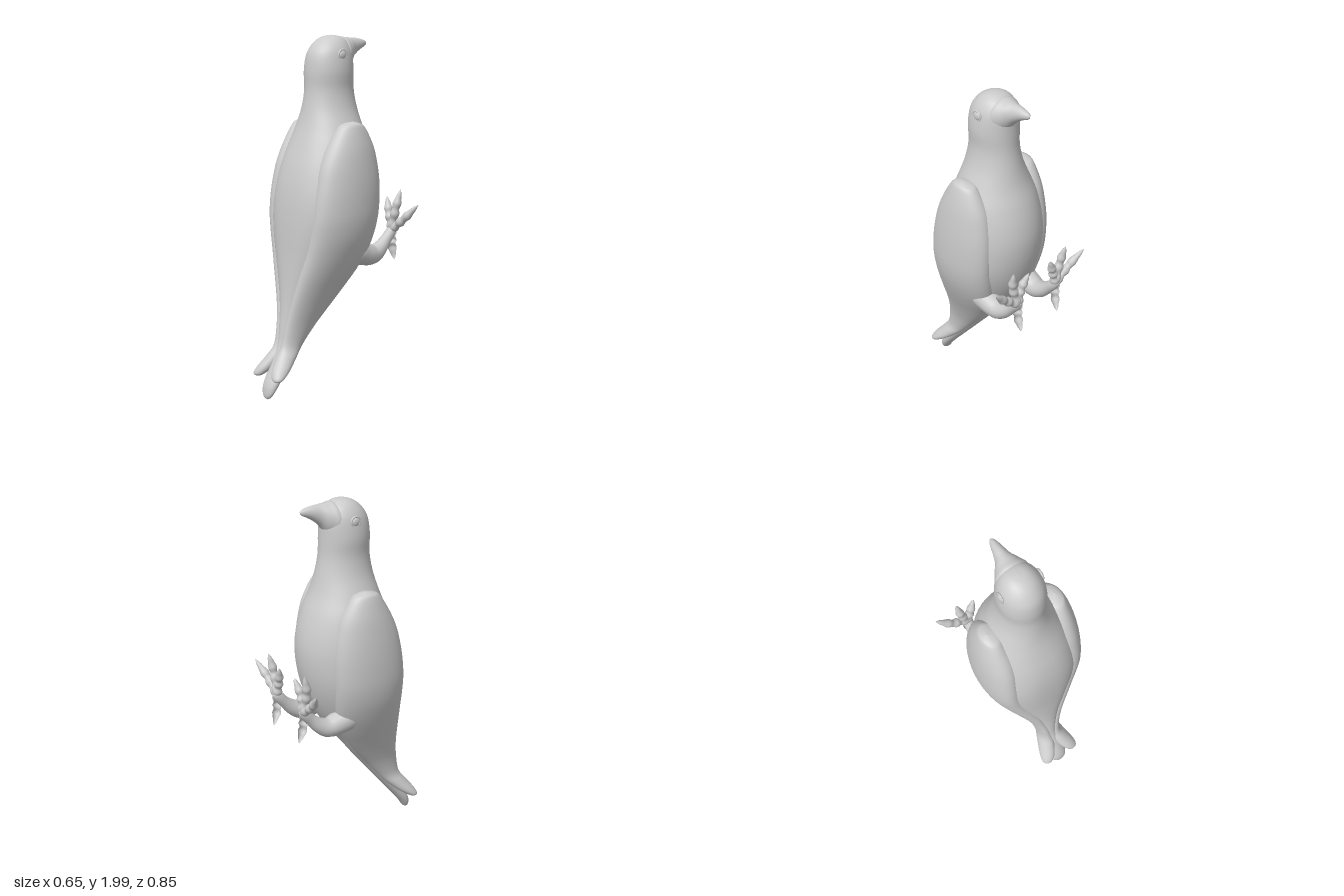
import * as THREE from 'three';

const material = new THREE.MeshStandardMaterial({ color: 0xcccccc, roughness: 0.8 });

// Smoothly subdivide rows of section measurements
function refine(rows, steps) {
  const out = [];
  const at = i => rows[Math.max(0, Math.min(rows.length - 1, i))];
  for (let i = 0; i < rows.length - 1; i++) {
    for (let s = 0; s < steps; s++) {
      const t = s / steps;
      out.push(rows[i].map((b, k) => {
        const a = at(i - 1)[k], c = at(i + 1)[k], d = at(i + 2)[k];
        return b + 0.5 * t * (c - a + t * (2 * a - 5 * b + 4 * c - d + t * (3 * (b - c) + d - a)));
      }));
    }
  }
  out.push(rows[rows.length - 1]);
  return out;
}

// Skin a list of closed rings; the end rings shrink to points
function skin(rings) {
  const n = rings[0].length, pos = rings.flat(2), idx = [];
  for (let i = 0; i < rings.length - 1; i++) {
    for (let j = 0; j < n; j++) {
      const a = i * n + j, b = i * n + (j + 1) % n;
      idx.push(a, b, a + n, b, b + n, a + n);
    }
  }
  // Signed volume tells whether the faces point outwards
  const p = i => new THREE.Vector3().fromArray(pos, i * 3);
  let volume = 0;
  for (let i = 0; i < idx.length; i += 3) volume += p(idx[i]).dot(p(idx[i + 1]).cross(p(idx[i + 2])));
  if (volume < 0) idx.reverse();
  const g = new THREE.BufferGeometry();
  g.setAttribute('position', new THREE.Float32BufferAttribute(pos, 3));
  g.setIndex(idx);
  g.computeVertexNormals();
  return g;
}

function loft(rows, point, steps = 5, sides = 48) {
  return skin(refine(rows, steps).map(r =>
    Array.from({ length: sides }, (_, j) => point(r, (j / sides) * Math.PI * 2))));
}

// Tapered limb through rows of [x, y, z, radius]
function limb(rows, sides = 14) {
  const fine = refine(rows, 5);
  const v = fine.map(r => new THREE.Vector3(r[0], r[1], r[2]));
  return skin(fine.map((r, i) => {
    const dir = v[Math.min(i + 1, v.length - 1)].clone().sub(v[Math.max(i - 1, 0)]).normalize();
    const u = new THREE.Vector3(1, 0, 0).addScaledVector(dir, -dir.x).normalize();
    const w = dir.clone().cross(u);
    return Array.from({ length: sides }, (_, j) => {
      const a = (j / sides) * Math.PI * 2;
      return v[i].clone().addScaledVector(u, r[3] * Math.cos(a)).addScaledVector(w, r[3] * Math.sin(a)).toArray();
    });
  }));
}

// Jointed toe from the foot to a claw tip, bending at the middle point
function toe(from, mid, tip) {
  const curve = new THREE.CatmullRomCurve3([from, mid, tip].map(p => new THREE.Vector3(...p)));
  const radii = [0.022, 0.027, 0.02, 0.027, 0.02, 0.025, 0.018, 0.012, 0.001];
  return limb(radii.map((r, i) => [...curve.getPoint(i / (radii.length - 1)).toArray(), r]));
}

export function createModel() {
  const model = new THREE.Group();
  const add = (parent, name, geometry) => {
    const m = new THREE.Mesh(geometry, material);
    m.name = name;
    parent.add(m);
    return m;
  };

  // Head, torso and middle tail: [y, front z, back z, half width, back squareness]
  const body = [
    [2.0, -0.051, -0.049, 0.001, 2], [1.993, -0.095, -0.005, 0.045, 2], [1.97, -0.135, 0.04, 0.08, 2],
    [1.93, -0.16, 0.077, 0.107, 2], [1.88, -0.172, 0.1, 0.122, 2], [1.8, -0.175, 0.11, 0.13, 2],
    [1.7, -0.18, 0.11, 0.126, 2], [1.6, -0.198, 0.125, 0.145, 2], [1.5, -0.225, 0.15, 0.185, 2.1],
    [1.4, -0.265, 0.185, 0.225, 2.2], [1.3, -0.295, 0.22, 0.25, 2.3], [1.2, -0.31, 0.245, 0.265, 2.4],
    [1.1, -0.307, 0.26, 0.272, 2.5], [1.0, -0.29, 0.268, 0.27, 2.5], [0.9, -0.26, 0.272, 0.25, 2.5],
    [0.8, -0.213, 0.275, 0.222, 2.4], [0.7, -0.147, 0.28, 0.182, 2.3], [0.6, -0.07, 0.286, 0.137, 2.2],
    [0.5, 0.004, 0.295, 0.1, 2.1], [0.4, 0.085, 0.308, 0.075, 2], [0.3, 0.167, 0.325, 0.06, 2],
    [0.2, 0.25, 0.365, 0.055, 2], [0.1, 0.332, 0.41, 0.055, 2], [0.05, 0.37, 0.42, 0.045, 2],
    [0.02, 0.388, 0.418, 0.025, 2], [0.008, 0.402, 0.404, 0.001, 2],
  ];
  add(model, 'body', loft(body, ([y, f, b, w, n], a) => {
    const c = Math.cos(a), s = Math.sin(a), e = s > 0 ? 2 / n : 1;
    return [w * Math.sign(c) * Math.abs(c) ** e, y, (f + b) / 2 + (b - f) / 2 * Math.sign(s) * Math.abs(s) ** e];
  }));

  // Beak: [z, low y, high y, half width]
  const beak = [
    [-0.06, 1.86, 1.9, 0.02], [-0.1, 1.79, 1.985, 0.095], [-0.15, 1.82, 1.987, 0.076],
    [-0.19, 1.87, 1.985, 0.047], [-0.23, 1.903, 1.983, 0.033], [-0.265, 1.924, 1.977, 0.024],
    [-0.293, 1.938, 1.969, 0.013], [-0.305, 1.953, 1.957, 0.001],
  ];
  add(model, 'beak', loft(beak, ([z, l, h, w], a) =>
    [w * Math.cos(a), (l + h) / 2 + (h - l) / 2 * Math.sin(a), z], 5, 32));

  // Wings run from the shoulder to a flared side lobe of the tail: [y, front z, back z, inner x, outer x]
  const wing = [
    [1.535, -0.032, -0.028, 0.209, 0.211], [1.525, -0.075, 0.02, 0.165, 0.24], [1.5, -0.115, 0.06, 0.14, 0.258],
    [1.4, -0.175, 0.125, 0.1, 0.284], [1.3, -0.203, 0.17, 0.09, 0.298], [1.2, -0.216, 0.195, 0.09, 0.306],
    [1.1, -0.217, 0.212, 0.09, 0.308], [1.0, -0.21, 0.222, 0.085, 0.303], [0.9, -0.197, 0.23, 0.06, 0.284],
    [0.8, -0.172, 0.24, 0.04, 0.25], [0.7, -0.125, 0.255, 0.02, 0.207], [0.6, -0.06, 0.27, 0.005, 0.16],
    [0.5, 0.015, 0.285, -0.005, 0.118], [0.4, 0.1, 0.304, -0.01, 0.086], [0.3, 0.185, 0.327, -0.01, 0.073],
    [0.24, 0.24, 0.365, -0.005, 0.09], [0.18, 0.305, 0.41, 0.02, 0.113], [0.145, 0.355, 0.426, 0.045, 0.121],
    [0.13, 0.38, 0.422, 0.065, 0.113], [0.124, 0.4, 0.404, 0.089, 0.091],
  ];
  const hind = [0.14, 0.895, -0.388];
  for (const [side, k] of [['left', 1], ['right', -1]]) {
    // Mirror station coordinates so both sides keep outward faces
    const flip = rows => rows.map(([x, ...rest]) => [k * x, ...rest]);
    add(model, side + 'Wing', loft(wing, ([y, f, b, i, o], a) =>
      [k * ((i + o) / 2 + (o - i) / 2 * Math.cos(a)), y, (f + b) / 2 + (b - f) / 2 * Math.sin(a)]));

    // Eye with a thin lid ring
    const eye = add(model, side + 'Eye', new THREE.SphereGeometry(0.024, 20, 14));
    eye.scale.x = 0.5;
    eye.position.set(k * 0.117, 1.893, -0.035);
    const lid = add(model, side + 'Eyelid', new THREE.TorusGeometry(0.027, 0.006, 10, 28));
    lid.position.set(k * 0.117, 1.893, -0.035);
    lid.rotation.set(0, Math.PI / 2, 0);

    // Bent leg
    add(model, side + 'Leg', limb(flip([
      [0.14, 0.84, -0.06, 0.001], [0.145, 0.81, -0.09, 0.07], [0.147, 0.78, -0.17, 0.066],
      [0.146, 0.77, -0.235, 0.056], [0.143, 0.795, -0.29, 0.044], [0.14, 0.84, -0.34, 0.033],
      [0.14, 0.885, -0.38, 0.03], [0.14, 0.91, -0.392, 0.022], [0.14, 0.925, -0.394, 0.001],
    ])));

    // Gripping foot: three toes up, one down
    const foot = new THREE.Group();
    foot.name = side + 'Foot';
    model.add(foot);
    const toes = {
      innerToe: [[0.115, 0.99, -0.388], [0.078, 1.08, -0.405]],
      middleToe: [[0.175, 1.02, -0.385], [0.19, 1.13, -0.408]],
      outerToe: [[0.235, 0.965, -0.39], [0.325, 1.055, -0.418]],
      hindToe: [[0.14, 0.81, -0.39], [0.135, 0.715, -0.415]],
    };
    for (const [name, points] of Object.entries(toes)) {
      const [mid, tip] = flip(points);
      add(foot, name, toe(flip([hind])[0], mid, tip));
    }
  }
  return model;
}
